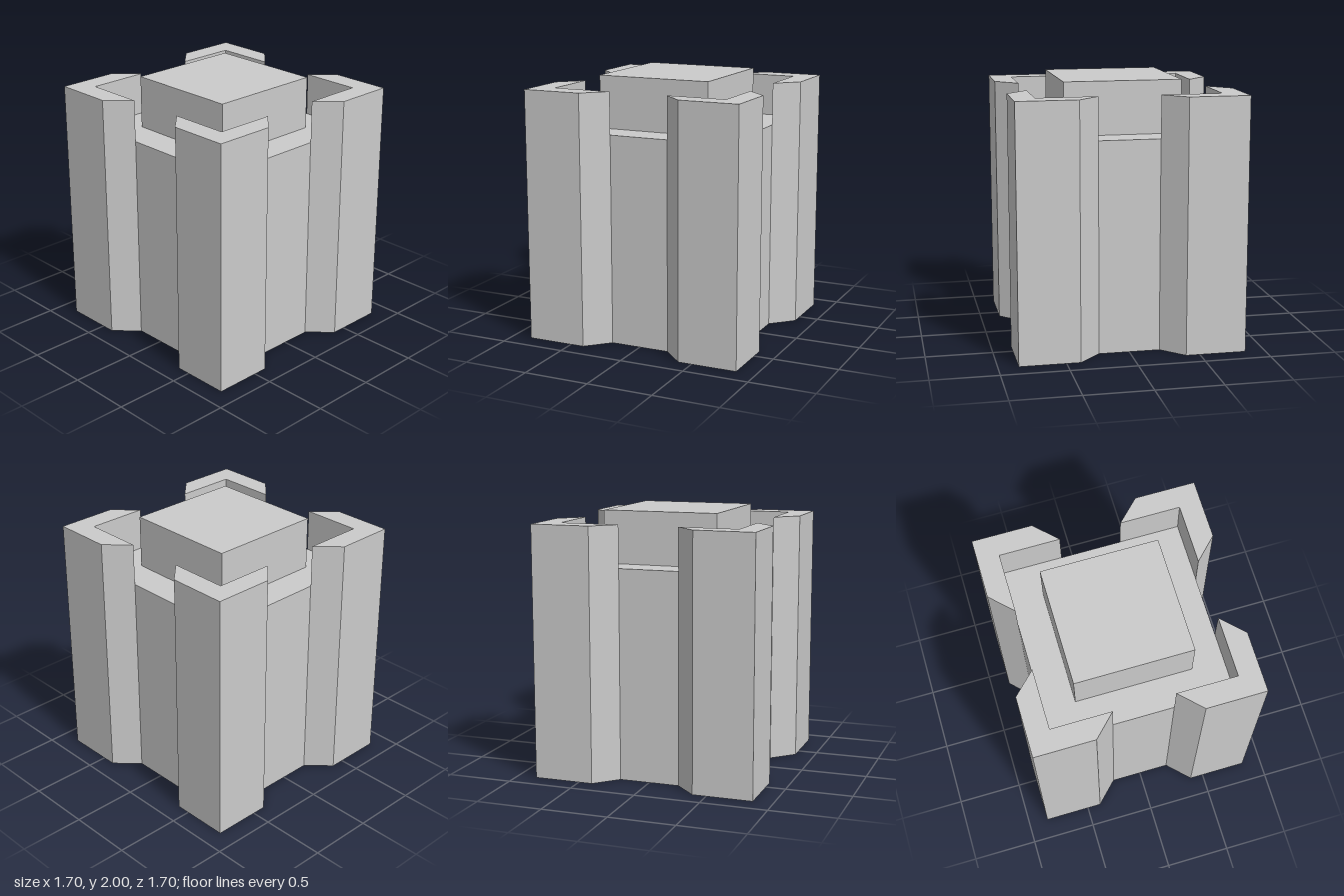
import * as THREE from 'three';

const OUTER = 0.85;   // half width across the corner pillars
const CORE = 0.685;   // half width of the square core
const FLOOR = 1.6;    // top of the core
const WALL = 1.92;    // top of the pillars

export function createModel() {
  const group = new THREE.Group();
  const material = new THREE.MeshStandardMaterial({ color: 0xcccccc, flatShading: true });

  const add = (name, geometry) => {
    const mesh = new THREE.Mesh(geometry, material);
    mesh.name = name;
    group.add(mesh);
    return mesh;
  };
  const block = (name, half, y0, y1) =>
    add(name, new THREE.BoxGeometry(half * 2, y1 - y0, half * 2).translate(0, (y0 + y1) / 2, 0));

  // Square tower core, with a smaller raised block on its roof
  block('towerCore', CORE, 0, FLOOR);
  block('roofBlock', 0.442, FLOOR, 2);

  // L-shaped corner pillar with chamfered ends, rising above the core as a parapet
  const profile = new THREE.Shape([
    [OUTER, OUTER], [0.395, OUTER], [0.23, CORE],
    [CORE, CORE], [CORE, 0.23], [OUTER, 0.395],
  ].map(([x, y]) => new THREE.Vector2(x, y)));
  const pillar = new THREE.ExtrudeGeometry(profile, { depth: WALL, bevelEnabled: false });
  pillar.rotateX(-Math.PI / 2);

  const names = ['backLeftPillar', 'backRightPillar', 'frontRightPillar', 'frontLeftPillar'];
  names.forEach((name, i) => {
    add(name, pillar).rotation.y = i * Math.PI / 2;
  });

  return group;
}
